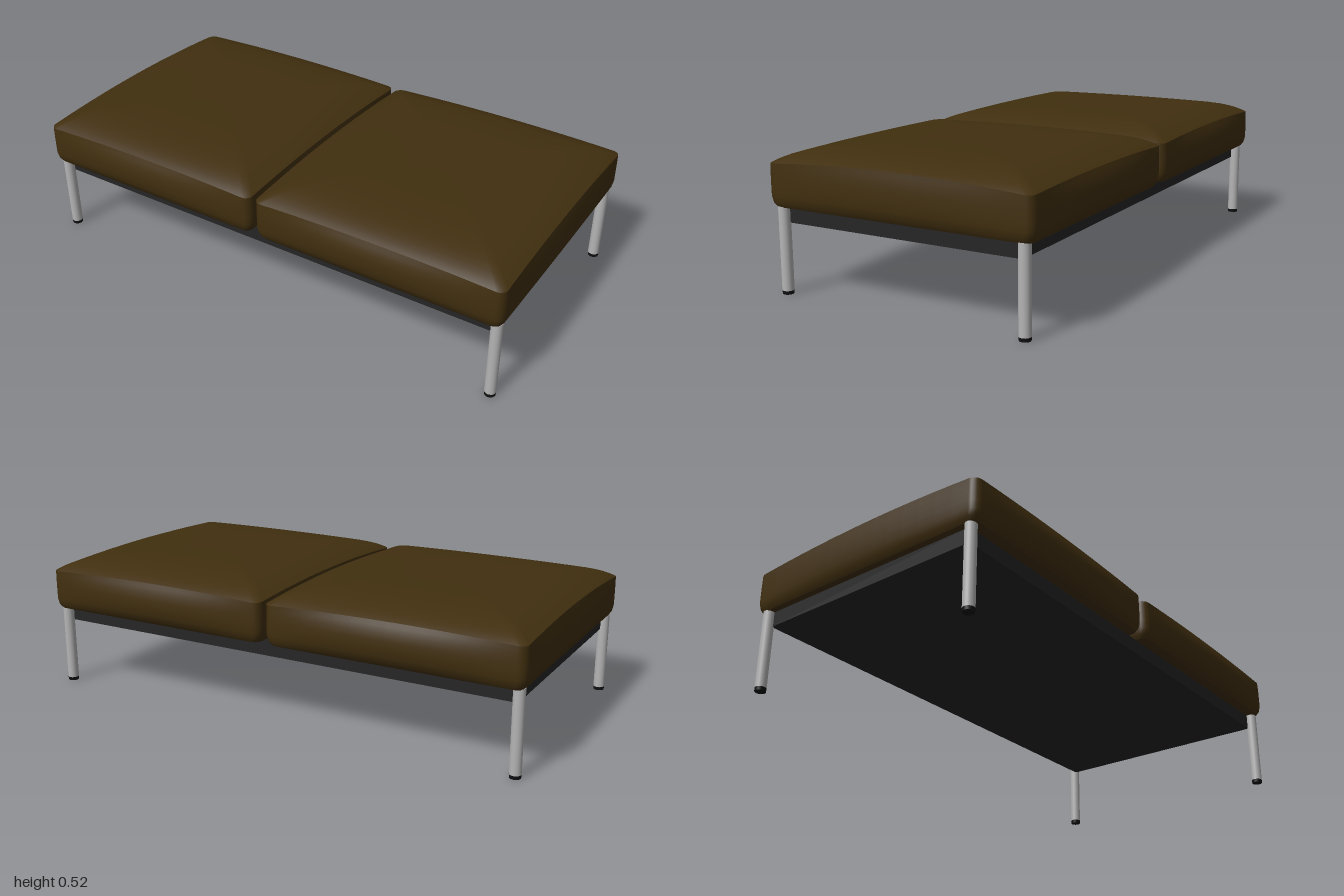
import * as THREE from 'three';

const mat = (name, color) => new THREE.MeshStandardMaterial({ name, color });

const HX = 0.488, HZ = 0.519, R = 0.03;   // cushion half sizes and corner radius
const BOTTOM = 0.312, CROWN = 0.521;

// Rounded rectangle outline, subdivided along the straight edges
function outline() {
  const pts = [], corners = [[1, 1], [-1, 1], [-1, -1], [1, -1]];
  corners.forEach(([sx, sz], k) => {
    for (let i = 0; i <= 5; i++) {
      const a = (k + i / 5) * Math.PI / 2;
      pts.push([sx * (HX - R) + R * Math.cos(a), sz * (HZ - R) + R * Math.sin(a)]);
    }
    const [x0, z0] = pts[pts.length - 1];
    const [nx, nz] = corners[(k + 1) % 4];
    const a = (k + 1) * Math.PI / 2;
    const x1 = nx * (HX - R) + R * Math.cos(a), z1 = nz * (HZ - R) + R * Math.sin(a);
    for (let i = 1; i < 14; i++) {
      pts.push([x0 + (x1 - x0) * i / 14, z0 + (z1 - z0) * i / 14]);
    }
  });
  return pts;
}

// Skin a list of closed rings, each ring given by a rule on the outline
function loft(rows, rule) {
  const pts = outline(), n = pts.length, pos = [], idx = [];
  rows.forEach((row) => pts.forEach(([x, z]) => pos.push(...rule(row, x, z))));
  for (let i = 0; i < rows.length - 1; i++) {
    for (let j = 0; j < n; j++) {
      const a = i * n + j, b = i * n + (j + 1) % n;
      idx.push(a, a + n, b, b, a + n, b + n);
    }
  }
  const g = new THREE.BufferGeometry();
  g.setAttribute('position', new THREE.Float32BufferAttribute(pos, 3));
  g.setIndex(idx);
  g.computeVertexNormals();
  return g;
}

// Height of the upper seam: lowest at the corners, raised mid-edge
const seamY = (x, z) => 0.463 + 0.022 * (1 - (z / HZ) ** 2) + 0.012 * (1 - (x / HX) ** 2);

// Side wall: [height fraction, inset, bulge]
function sideRule([t, inset, bulge], x, z) {
  const u = x / HX, v = z / HZ;
  return [
    x - u * inset + 0.009 * bulge * u * (1 - v * v),
    BOTTOM + (seamY(x, z) - BOTTOM) * t,
    z - v * inset + 0.019 * bulge * v * (1 - u * u),
  ];
}

// Domed top, s shrinks from the seam to the centre
function topRule(s, x, z) {
  const y = seamY(x, z);
  return [x * s, y + (CROWN - y) * (1 - s ** 6), z * s];
}

function createCushion(fabric) {
  const cushion = new THREE.Group();
  const add = (name, geometry) => {
    const m = new THREE.Mesh(geometry, fabric);
    m.name = name;
    cushion.add(m);
  };
  add('cushionTop', loft([1, 0.985, 0.965, 0.94, 0.9, 0.84, 0.75, 0.6, 0.4, 0.2, 0], topRule));
  add('cushionSide', loft([
    [0, 0.013, 0], [0.1, 0.004, 0.35], [0.25, 0, 0.75], [0.45, 0, 1],
    [0.62, 0, 1], [0.78, 0, 0.75], [0.9, 0, 0.35], [1, 0, 0],
  ], sideRule));
  add('cushionUnderside', loft([0, 1], (s, x, z) =>
    [x * s * (1 - 0.013 / HX), BOTTOM, z * s * (1 - 0.013 / HZ)]));
  return cushion;
}

export function createModel() {
  const model = new THREE.Group();
  model.name = 'bench';
  const fabric = mat('brownFabric', 0x412f0f);
  const frameMat = mat('darkFrame', 0x252525);
  const metal = mat('brushedMetal', 0xb4b4b4);
  const rubber = mat('blackRubber', 0x101010);

  // Two seat cushions side by side
  for (const side of [-1, 1]) {
    const cushion = createCushion(fabric);
    cushion.name = side > 0 ? 'leftCushion' : 'rightCushion';
    cushion.position.x = side * 0.499;
    model.add(cushion);
  }

  // Base frame under the cushions
  const frame = new THREE.Mesh(new THREE.BoxGeometry(1.9, 0.058, 0.93), frameMat);
  frame.name = 'frame';
  frame.position.y = 0.284;
  model.add(frame);

  // Four round legs with rubber feet
  const legGeo = new THREE.CylinderGeometry(0.021, 0.021, 0.301, 24);
  const footGeo = new THREE.CylinderGeometry(0.021, 0.02, 0.013, 24);
  for (const x of [-0.957, 0.957]) {
    for (const z of [-0.477, 0.477]) {
      const leg = new THREE.Group();
      leg.name = (z > 0 ? 'front' : 'back') + (x > 0 ? 'Left' : 'Right') + 'Leg';
      const tube = new THREE.Mesh(legGeo, metal);
      tube.name = 'legTube';
      tube.position.y = 0.1635;
      const foot = new THREE.Mesh(footGeo, rubber);
      foot.name = 'foot';
      foot.position.y = 0.0065;
      leg.add(tube, foot);
      leg.position.set(x, 0, z);
      model.add(leg);
    }
  }
  return model;
}
